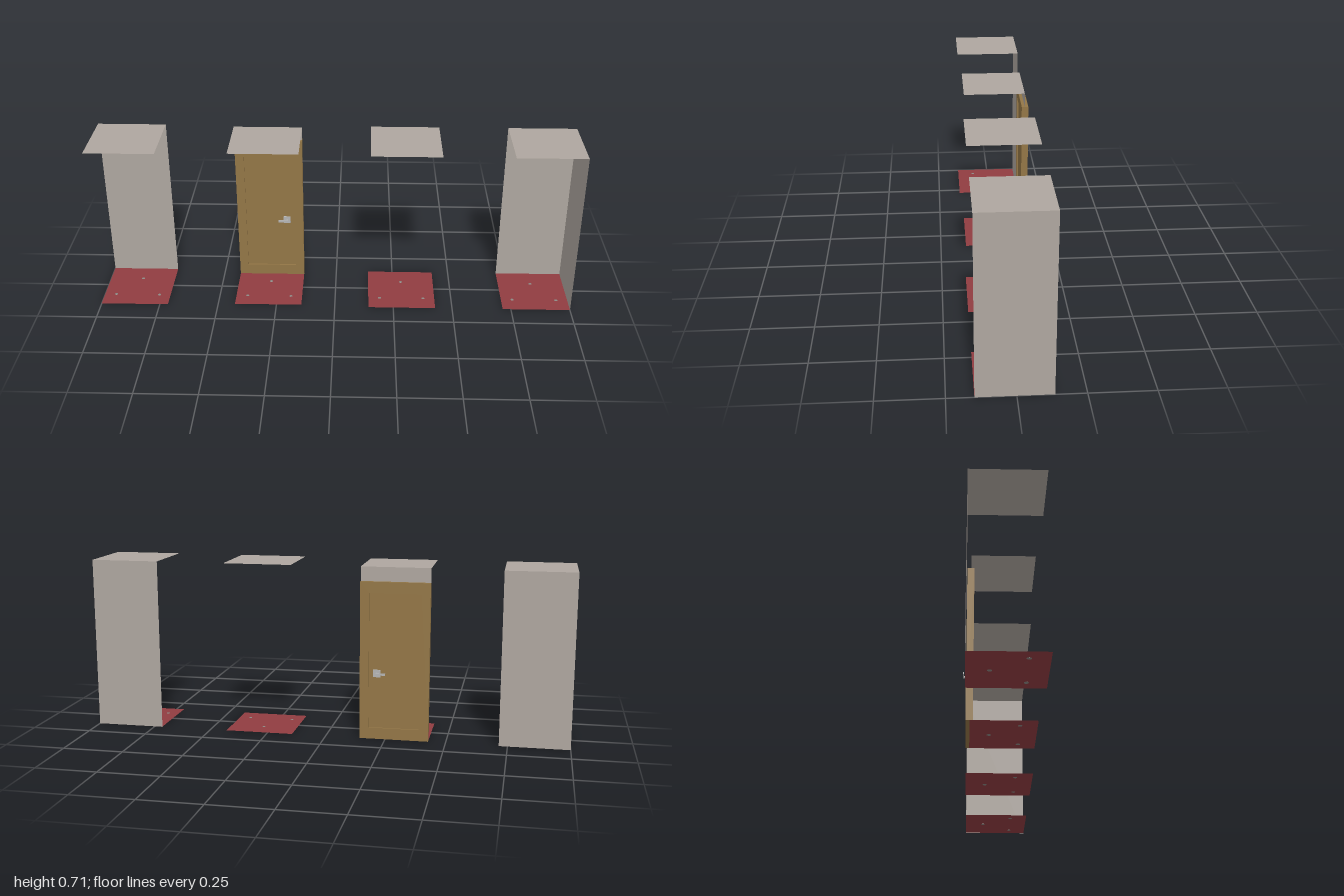
import * as THREE from 'three';

const mat = (name, color, side = THREE.FrontSide) => {
  const m = new THREE.MeshStandardMaterial({ color, side });
  m.name = name;
  return m;
};

export function createModel() {
  const wallMat = mat('warm grey plaster', 0xaea69f, THREE.DoubleSide);
  const floorMat = mat('red carpet', 0x903c41, THREE.DoubleSide);
  const woodMat = mat('brown wood', 0x937646);
  const metalMat = mat('light metal', 0xb4b4b4);
  const studMat = mat('grey stud', 0x8a8580);

  const W = 0.285, H = 0.715, BACK = -0.135, FRONT = 0.149;
  const FLOOR = 0.001;
  const model = new THREE.Group();
  model.name = 'roomModules';

  const add = (parent, name, geo, material, x, y, z) => {
    const mesh = new THREE.Mesh(geo, material);
    mesh.name = name;
    mesh.position.set(x, y, z);
    parent.add(mesh);
    return mesh;
  };

  // One module: ceiling, floor and three floor studs
  function makeModule(name, index, back, front) {
    const g = new THREE.Group();
    g.name = name;
    g.position.x = (index - 1.5) * 0.5717;
    const depth = front - back, zMid = (front + back) / 2;
    const slab = new THREE.PlaneGeometry(W, depth).rotateX(-Math.PI / 2);
    add(g, 'ceiling', slab, wallMat, 0, H, zMid);
    add(g, 'floor', slab, floorMat, 0, FLOOR, zMid);
    const stud = new THREE.CylinderGeometry(0.004, 0.009, 0.003, 12);
    for (const [a, b] of [[0.17, 0.74], [0.5, 0.29], [0.83, 0.74]])
      add(g, 'floorStud', stud, studMat, (a - 0.5) * W, 0.0015, back + b * depth);
    model.add(g);
    return g;
  }

  const backWall = (g) =>
    add(g, 'backWall', new THREE.PlaneGeometry(W, H), wallMat, 0, H / 2, BACK);

  // Straight wall, doorway, open passage and corner
  backWall(makeModule('wallModule', 0, BACK, FRONT));
  const doorway = makeModule('doorModule', 1, -0.12, 0.138);
  makeModule('openModule', 2, BACK, FRONT);
  const corner = makeModule('cornerModule', 3, BACK, FRONT);
  backWall(corner);
  add(corner, 'sideWall', new THREE.PlaneGeometry(FRONT - BACK, H).rotateY(Math.PI / 2),
    wallMat, W / 2, H / 2, (FRONT + BACK) / 2);

  // Wall strip above the door
  const DOOR_H = 0.656;
  add(doorway, 'lintel', new THREE.PlaneGeometry(W, H - DOOR_H), wallMat, 0, (H + DOOR_H) / 2, -0.12);

  // Door: frame with a panel recessed on both faces
  const door = new THREE.Group();
  door.name = 'door';
  const THICK = 0.028;
  door.position.z = BACK + THICK / 2;
  doorway.add(door);
  const rect = (Type, x0, y0, x1, y1) =>
    new Type([[x0, y0], [x1, y0], [x1, y1], [x0, y1]].map(([x, y]) => new THREE.Vector2(x, y)));
  const px = W / 2 - 0.037, py0 = 0.048, py1 = DOOR_H - 0.045;
  const outline = rect(THREE.Shape, -W / 2, FLOOR, W / 2, DOOR_H);
  outline.holes.push(rect(THREE.Path, -px, py0, px, py1));
  add(door, 'doorFrame',
    new THREE.ExtrudeGeometry(outline, { depth: THICK, bevelEnabled: false }).translate(0, 0, -THICK / 2),
    woodMat, 0, 0, 0);
  add(door, 'doorPanel', new THREE.BoxGeometry(px * 2, py1 - py0, THICK - 0.014),
    woodMat, 0, (py0 + py1) / 2, 0);

  // Lever handle on each face
  for (const s of [-1, 1]) {
    const handle = new THREE.Group();
    handle.name = s < 0 ? 'backHandle' : 'frontHandle';
    handle.position.set(0.072, 0.278, s * THICK / 2);
    door.add(handle);
    add(handle, 'handlePlate', new THREE.BoxGeometry(0.03, 0.03, 0.009), metalMat, 0, 0, -s * 0.004);
    add(handle, 'spindle', new THREE.BoxGeometry(0.007, 0.008, 0.012), metalMat, 0, 0, s * 0.006);
    add(handle, 'lever', new THREE.BoxGeometry(0.04, 0.009, 0.004), metalMat, -0.0165, 0, s * 0.011);
  }
  return model;
}
